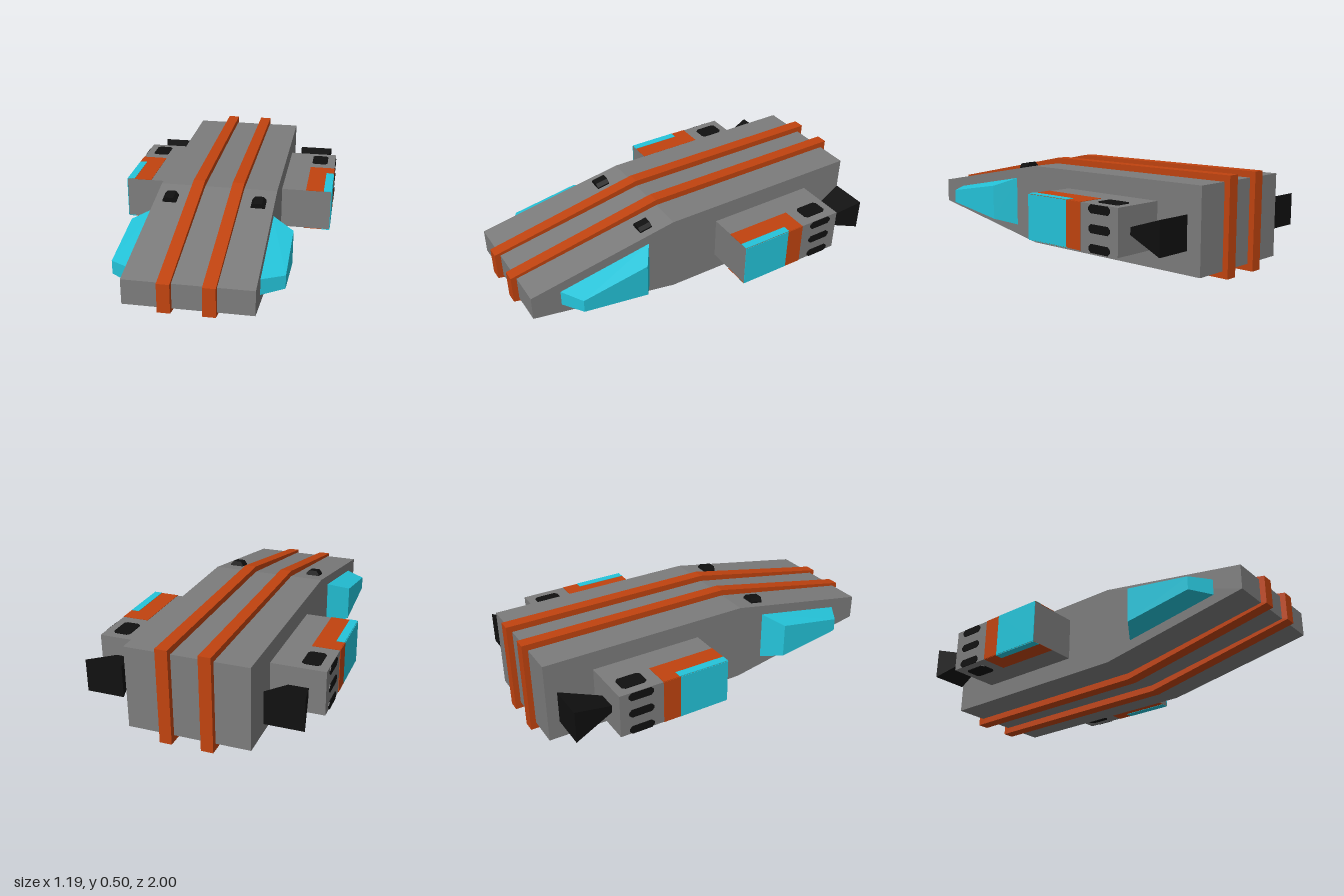
import * as THREE from 'three';
import { ConvexGeometry } from 'three/addons/geometries/ConvexGeometry.js';

const flat = (name, color) => {
  const m = new THREE.MeshStandardMaterial({ color });
  m.name = name;
  return m;
};

// Extrudes a side profile of [z, y] points across x, from x0 to x1
function sideExtrude(points, x0, x1) {
  const shape = new THREE.Shape(points.map(([z, y]) => new THREE.Vector2(z, y)));
  const geo = new THREE.ExtrudeGeometry(shape, { depth: x1 - x0, bevelEnabled: false });
  return geo.rotateY(-Math.PI / 2).translate(x1, 0, 0);
}

// Thin plate in xy with cut corners, rising to +z by t
function plate(w, h, t, cut = 0) {
  const a = w / 2, b = h / 2, c = cut;
  const pts = c
    ? [[-a + c, -b], [a - c, -b], [a, -b + c], [a, b - c], [a - c, b], [-a + c, b], [-a, b - c], [-a, -b + c]]
    : [[-a, -b], [a, -b], [a, b], [-a, b]];
  const shape = new THREE.Shape(pts.map(([x, y]) => new THREE.Vector2(x, y)));
  return new THREE.ExtrudeGeometry(shape, { depth: t, bevelEnabled: false });
}

// Copy reflected in x, with the corner order reversed
function mirrored(geo) {
  const g = geo.index ? geo.toNonIndexed() : geo.clone();
  g.scale(-1, 1, 1);
  const p = g.attributes.position;
  const a = new THREE.Vector3(), b = new THREE.Vector3();
  for (let i = 0; i < p.count; i += 3) {
    a.fromBufferAttribute(p, i + 1);
    b.fromBufferAttribute(p, i + 2);
    p.setXYZ(i + 1, b.x, b.y, b.z);
    p.setXYZ(i + 2, a.x, a.y, a.z);
  }
  g.clearGroups();
  g.computeVertexNormals();
  return g;
}

export function createModel() {
  const grey = flat('hull grey', 0x7c7c7c);
  const orange = flat('stripe orange', 0xc0430f);
  const cyan = flat('panel cyan', 0x24c4da);
  const black = flat('vent black', 0x101010);

  const model = new THREE.Group();
  model.name = 'spaceship';
  const add = (name, geo, mat) => {
    const mesh = new THREE.Mesh(geo, mat);
    mesh.name = name;
    model.add(mesh);
  };
  const addPair = (name, geo, mat) => {
    add(name + 'Left', geo, mat);
    add(name + 'Right', mirrored(geo), mat);
  };

  // Wedge-nosed hull
  add('hull', sideExtrude([[0.97, 0.185], [0.97, 0.315], [0.16, 0.463],
    [-0.97, 0.463], [-0.97, 0.035], [0.16, 0.035]], -0.315, 0.315), grey);

  // Raised bands running all the way round the hull
  addPair('band', sideExtrude([[1, 0.175], [1, 0.325], [0.16, 0.495],
    [-1, 0.495], [-1, 0], [0.16, 0]], 0.075, 0.138), orange);

  // Tapered side windows near the nose
  const v = (x, y, z) => new THREE.Vector3(x, y, z);
  addPair('sideWindow', new ConvexGeometry([
    v(0.31, 0.115, 0.305), v(0.31, 0.385, 0.305), v(0.31, 0.206, 0.818), v(0.31, 0.29, 0.818),
    v(0.427, 0.155, 0.382), v(0.427, 0.343, 0.382), v(0.427, 0.211, 0.743), v(0.427, 0.282, 0.743)]), cyan);

  // Small sensor blocks lying on the nose slope
  const knob = new THREE.Shape([[-0.037, -0.012], [0.037, -0.012], [0.037, 0.008],
    [0.022, 0.027], [-0.022, 0.027], [-0.037, 0.008]].map(([x, y]) => new THREE.Vector2(x, y)));
  addPair('sensor', new THREE.ExtrudeGeometry(knob, { depth: 0.07, bevelEnabled: false })
    .translate(0, 0, -0.035).rotateX(0.181).translate(0.234, 0.438, 0.298), black);

  // Engine pods
  const outer = 0.592, top = 0.365, bottom = 0.134;
  addPair('enginePod', new THREE.BoxGeometry(outer - 0.3, top - bottom, 0.605)
    .translate((outer + 0.3) / 2, (top + bottom) / 2, -0.4105), grey);

  // Flared square nozzles
  const ring = (w, h, z) => [[-1, -1], [1, -1], [1, 1], [-1, 1]]
    .map(([i, j]) => v(0.457 + i * w / 2, 0.247 + j * h / 2, z));
  addPair('nozzle', new ConvexGeometry([...ring(0.1, 0.035, -0.71), ...ring(0.196, 0.17, -0.925)]), black);

  // Painted panels and vents on the pod's top and underside
  const panels = [
    ['orangePanel', 0.45, outer, -0.475, -0.106, 0.002, 0, orange],
    ['cyanPanel', 0.55, outer, -0.385, -0.106, 0.004, 0, cyan],
    ['vent', 0.455, 0.547, -0.67, -0.537, 0.004, 0.014, black],
  ];
  for (const [name, x0, x1, z0, z1, t, cut, mat] of panels) {
    for (const [where, dir, y] of [['Top', -1, top], ['Bottom', 1, bottom]]) {
      addPair(name + where, plate(x1 - x0, z1 - z0, t, cut)
        .rotateX(dir * Math.PI / 2).translate((x0 + x1) / 2, y, (z0 + z1) / 2), mat);
    }
  }

  // Painted panels and vents on the pod's outer side
  const sidePlate = (name, z0, z1, y0, y1, t, cut, mat) => addPair(name,
    plate(z1 - z0, y1 - y0, t, cut).rotateY(Math.PI / 2)
      .translate(outer, (y0 + y1) / 2, (z0 + z1) / 2), mat);
  sidePlate('orangeSide', -0.475, -0.38, bottom, top, 0.003, 0, orange);
  sidePlate('cyanSide', -0.38, -0.106, bottom, top, 0.003, 0, cyan);
  for (const y of [0.154, 0.248, 0.342]) {
    sidePlate('sideVent', -0.665, -0.53, y - 0.021, y + 0.021, 0.004, 0.014, black);
  }
  return model;
}
